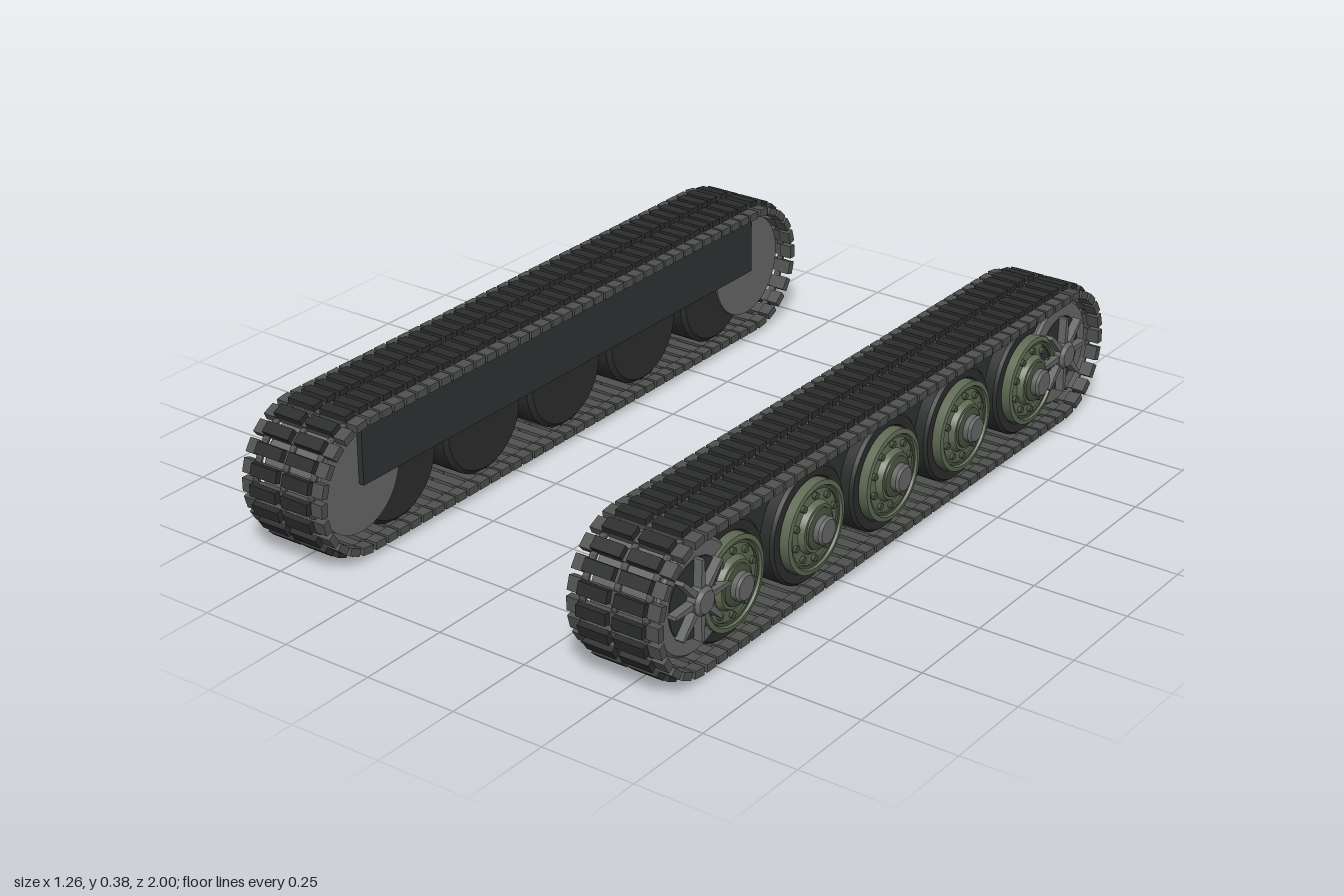
import * as THREE from 'three';
import { mergeGeometries, toCreasedNormals } from 'three/addons/utils/BufferGeometryUtils.js';

const mat = (color) => new THREE.MeshStandardMaterial({ color });
const steel = mat(0x666866), linkGrey = mat(0x505250), rubber = mat(0x2b2d2c);
const dark = mat(0x303433), green = mat(0x5f6b54), darkGreen = mat(0x48523f);

const CX = 0.493;        // middle of a track across its width
const CY = 0.192;        // height of the loop centre line
const HALF = 0.808;      // half length of the straight runs
const R = 0.192;         // outer radius of the loop

function add(parent, name, geometry, material, x = 0, y = 0, z = 0) {
  const mesh = new THREE.Mesh(geometry, material);
  mesh.name = name;
  mesh.position.set(x, y, z);
  parent.add(mesh);
  return mesh;
}

// Solid of revolution about the x axis; points are [radius, x], inner side first
function turned(points, segments = 40) {
  const g = new THREE.LatheGeometry(points.map(([r, x]) => new THREE.Vector2(r, x)), segments);
  g.rotateZ(-Math.PI / 2);
  return toCreasedNormals(g, 0.5);
}

const box = (w, h, d, x, y, z = 0) => new THREE.BoxGeometry(w, h, d).translate(x, y, z);

// Copies of one part set round a circle in the y-z plane
function ring(geometry, count, phase = 0) {
  const list = [];
  for (let i = 0; i < count; i++) list.push(geometry.clone().rotateX(phase + (i / count) * Math.PI * 2));
  return mergeGeometries(list);
}

// Position and tilt of every link round the loop
function linkPlaces() {
  const places = [], straight = 37, arc = 11;
  for (const s of [1, -1]) {
    for (let i = 0; i < straight; i++) {
      const z = -HALF + ((i + 0.5) / straight) * 2 * HALF;
      places.push({ z, angle: s > 0 ? 0 : Math.PI });
    }
    for (let i = 0; i < arc; i++) {
      places.push({ z: s * HALF, angle: s * ((i + 0.5) / arc) * Math.PI });
    }
  }
  return places;
}

function buildTrack(parent) {
  // one link, lying at the top of the loop
  const link = mergeGeometries([
    box(0.235, 0.014, 0.032, 0, R - 0.023),
    ...[-1, 1].flatMap((s) => [
      box(0.034, 0.02, 0.036, s * 0.111, R - 0.024),
      box(0.018, 0.007, 0.05, s * 0.088, R - 0.024),
    ]),
    box(0.016, 0.007, 0.05, 0, R - 0.024),
  ]);
  const pads = mergeGeometries([-1, 1].map((s) => box(0.083, 0.019, 0.031, s * 0.0505, R - 0.0095)));
  const links = [], treads = [];
  for (const { z, angle } of linkPlaces()) {
    const m = new THREE.Matrix4().makeRotationX(angle).setPosition(0, 0, z);
    links.push(link.clone().applyMatrix4(m));
    treads.push(pads.clone().applyMatrix4(m));
  }
  add(parent, 'trackLinks', mergeGeometries(links), linkGrey, CX, CY);
  add(parent, 'trackPads', mergeGeometries(treads), rubber, CX, CY);
}

function buildRoadWheel(parent, z) {
  const wheel = new THREE.Group();
  wheel.name = 'roadWheel';
  wheel.position.set(0, 0.174, z);
  parent.add(wheel);
  // rubber tyre
  add(wheel, 'tyre', turned([[0, 0.41], [0.14, 0.41], [0.152, 0.42], [0.152, 0.568],
    [0.145, 0.576], [0.122, 0.576], [0.118, 0.57], [0, 0.57]]), rubber);
  // dished disc with a raised rim
  add(wheel, 'disc', turned([[0.118, 0.565], [0.118, 0.598], [0.106, 0.6], [0.102, 0.588],
    [0.068, 0.59], [0.06, 0.604], [0, 0.604]]), green);
  add(wheel, 'discRing', turned([[0.103, 0.586], [0.103, 0.594], [0.096, 0.594], [0.096, 0.586]]), darkGreen);
  // bolts round the disc
  const bolt = new THREE.CylinderGeometry(0.009, 0.009, 0.012, 8).rotateZ(-Math.PI / 2).translate(0.592, 0.082, 0);
  add(wheel, 'bolts', ring(bolt, 10), darkGreen);
  // hub and cap
  add(wheel, 'hub', turned([[0.054, 0.6], [0.052, 0.609], [0.04, 0.612], [0, 0.612]]), darkGreen);
  add(wheel, 'hubCap', turned([[0.036, 0.605], [0.036, 0.626], [0.03, 0.632], [0, 0.632]], 24), steel);
}

function buildEndWheel(parent, z) {
  const wheel = new THREE.Group();
  wheel.name = 'endWheel';
  wheel.position.set(0, 0.198, z);
  parent.add(wheel);
  // drum with a recessed outer face
  add(wheel, 'drum', turned([[0, 0.405], [0.143, 0.405], [0.143, 0.582], [0.136, 0.589],
    [0.1, 0.589], [0.098, 0.58], [0, 0.58]], 48), steel);
  add(wheel, 'recess', turned([[0.099, 0.58], [0.099, 0.591], [0, 0.591]]), dark);
  // tapered spokes
  const blade = new THREE.Shape([[-0.009, 0.02], [0.009, 0.02], [0.005, 0.104], [-0.005, 0.104]]
    .map(([a, b]) => new THREE.Vector2(a, b)));
  const spoke = new THREE.ExtrudeGeometry(blade, { depth: 0.028, bevelEnabled: false })
    .rotateY(Math.PI / 2).translate(0.585, 0, 0);
  add(wheel, 'spokes', ring(spoke, 8), steel);
  add(wheel, 'hub', turned([[0.036, 0.585], [0.036, 0.615], [0.028, 0.624], [0, 0.624]], 24), steel);
}

export function createModel() {
  const model = new THREE.Group();
  model.name = 'trackPair';
  for (const side of ['left', 'right']) {
    const unit = new THREE.Group();
    unit.name = side + 'TrackUnit';
    // each unit is symmetric front to back, so a half turn mirrors it
    if (side === 'right') unit.rotation.y = Math.PI;
    buildTrack(unit);
    // long frame carrying the wheels
    add(unit, 'frame', box(0.15, 0.155, 1.62, 0.465, 0.262), dark);
    for (let i = -2; i <= 2; i++) buildRoadWheel(unit, i * 0.3335);
    for (const s of [-1, 1]) buildEndWheel(unit, s * HALF);
    model.add(unit);
  }
  return model;
}
